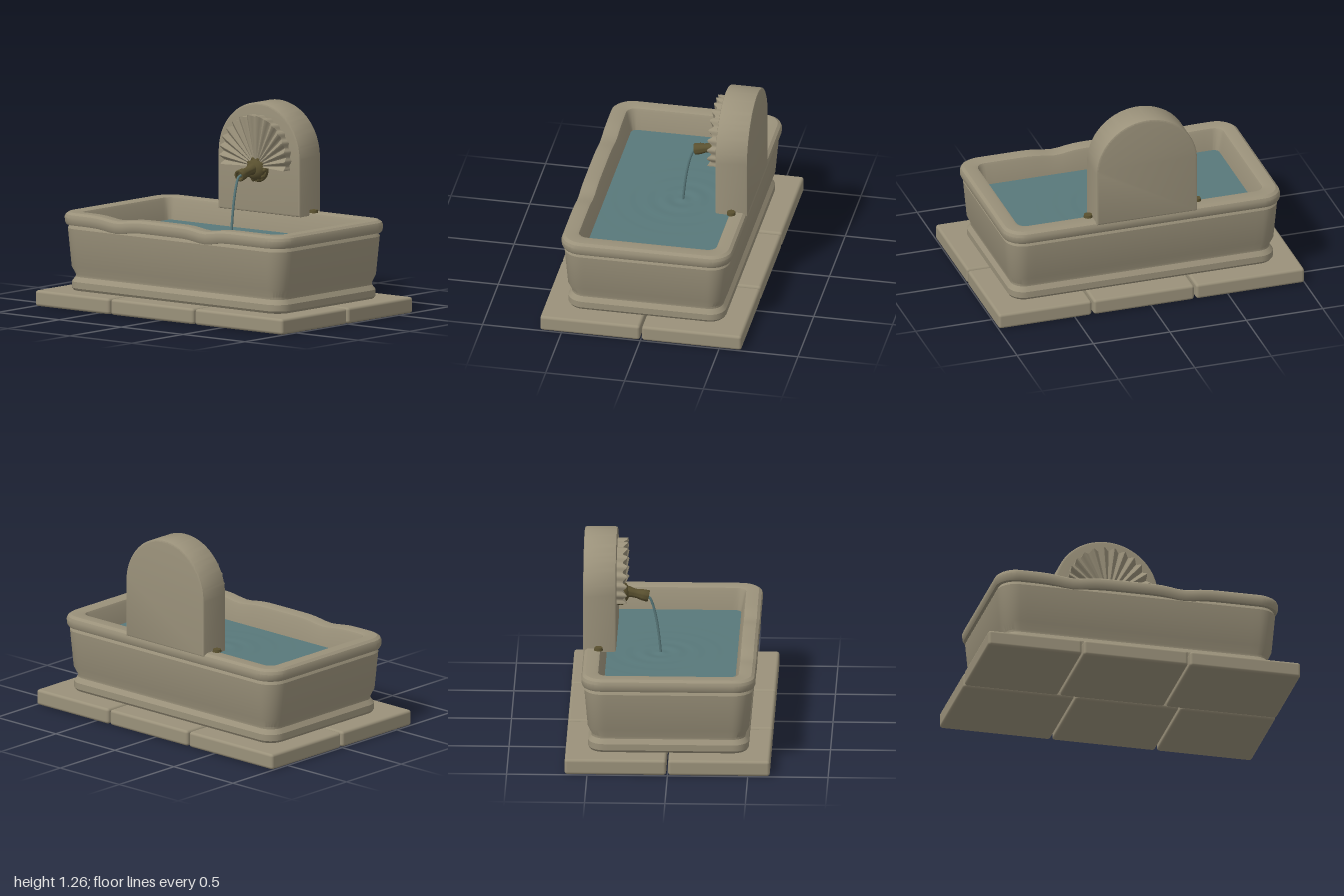
import * as THREE from 'three';
import { toCreasedNormals } from 'three/addons/utils/BufferGeometryUtils.js';
import { RoundedBoxGeometry } from 'three/addons/geometries/RoundedBoxGeometry.js';

const stone = new THREE.MeshStandardMaterial({ color: 0x9a917a, side: THREE.DoubleSide });
stone.name = 'stone';
const bronze = new THREE.MeshStandardMaterial({ color: 0x59502f });
bronze.name = 'bronze';
const water = new THREE.MeshStandardMaterial({ color: 0x58787a });
water.name = 'water';

function part(parent, name, geometry, material, x = 0, y = 0, z = 0) {
  const mesh = new THREE.Mesh(geometry, material);
  mesh.name = name;
  mesh.position.set(x, y, z);
  parent.add(mesh);
  return mesh;
}

// Surface through a grid of points: rows of equal length
function loft(rows, closed, crease) {
  const n = rows[0].length, index = [];
  for (let i = 0; i < rows.length - 1; i++) {
    for (let j = 0; j < (closed ? n : n - 1); j++) {
      const k = (j + 1) % n;
      const a = i * n + j, b = i * n + k, c = b + n, d = a + n;
      index.push(a, b, c, a, c, d);
    }
  }
  const g = new THREE.BufferGeometry();
  g.setAttribute('position', new THREE.Float32BufferAttribute(rows.flat(2), 3));
  g.setIndex(index);
  return toCreasedNormals(g, crease);
}

// Rounded rectangle ring, with worn dips along the front rim
function basinRing([hx, y]) {
  const hz = hx - 0.365, r = Math.max(0.004, 0.13 - (0.905 - hx) * 0.7);
  const rad = Math.min(r, hz * 0.9), pts = [];
  for (let q = 0; q < 4; q++) {
    const sx = q === 0 || q === 3 ? 1 : -1, sz = q < 2 ? -1 : 1;
    for (let s = 0; s <= 8; s++) {
      const a = (q + s / 8) * Math.PI / 2;
      pts.push([sx * (hx - rad) + rad * Math.cos(a), sz * (hz - rad) - rad * Math.sin(a)]);
    }
    const [x0, z0] = pts[pts.length - 1];
    const alongX = q % 2 === 0;
    for (let s = 1; s < 32; s++) {
      const t = s / 32;
      pts.push(alongX ? [x0 * (1 - 2 * t), z0] : [x0, z0 * (1 - 2 * t)]);
    }
  }
  return pts.map(([x, z]) => {
    const dip = Math.exp(-(((x + 0.43) / 0.11) ** 2)) + Math.exp(-(((x - 0.28) / 0.1) ** 2));
    return [x, y - (y > 0.51 && z > 0.3 ? 0.02 * dip : 0), z];
  });
}

function addPaving(group) {
  const paving = new THREE.Group();
  paving.name = 'paving';
  group.add(paving);
  const rows = [
    { z0: 0.004, z1: 0.637, cuts: [-1, -0.395, 0.285, 1] },
    { z0: -0.64, z1: -0.008, cuts: [-1, -0.285, 0.385, 1] },
  ];
  for (const { z0, z1, cuts } of rows) {
    for (let i = 0; i < 3; i++) {
      const x0 = cuts[i] + (i > 0 ? 0.006 : 0), x1 = cuts[i + 1] - (i < 2 ? 0.006 : 0);
      part(paving, 'pavingSlab', new RoundedBoxGeometry(x1 - x0, 0.1, z1 - z0, 2, 0.018),
        stone, (x0 + x1) / 2, 0.05, (z0 + z1) / 2);
    }
  }
}

function addBasin(group) {
  // Half width and height, from under the foot, over the rim, to the inner floor
  const profile = [
    [0.37, 0.1], [0.855, 0.1], [0.865, 0.115], [0.865, 0.155], [0.845, 0.185], [0.845, 0.2],
    [0.868, 0.25], [0.889, 0.49], [0.882, 0.505], [0.878, 0.512], [0.897, 0.514], [0.905, 0.53],
    [0.907, 0.56], [0.9, 0.578], [0.882, 0.591], [0.82, 0.592], [0.803, 0.586], [0.796, 0.57],
    [0.772, 0.45], [0.75, 0.22], [0.37, 0.2],
  ];
  part(group, 'basin', loft(profile.map(basinRing), true, 0.5), stone);

  // Water with rings spreading from the jet
  const g = new THREE.PlaneGeometry(1.56, 0.83, 104, 60);
  g.rotateX(-Math.PI / 2);
  const p = g.attributes.position;
  for (let i = 0; i < p.count; i++) {
    const d = Math.hypot(p.getX(i), p.getZ(i) + 0.07);
    p.setY(i, 0.004 * Math.cos(d * 55) * Math.exp(-d * 6));
  }
  g.computeVertexNormals();
  part(group, 'waterSurface', g, water, 0, 0.45, 0);
}

function addBackPlate(group) {
  const b = 0.012, w = 0.33 - b;
  const shape = new THREE.Shape();
  shape.moveTo(-w, 0.57 + b);
  shape.lineTo(w, 0.57 + b);
  shape.lineTo(w, 0.93);
  shape.absarc(0, 0.93, w, 0, Math.PI, false);
  shape.closePath();
  const g = new THREE.ExtrudeGeometry(shape, {
    depth: 0.205 - 2 * b, bevelThickness: b, bevelSize: b, bevelSegments: 2, curveSegments: 40,
  });
  part(group, 'backPlate', toCreasedNormals(g, 0.4), stone, 0, 0, -0.545 + b);

  // Fluted shell, closed to the plate at its outer edge and both ends
  const ribs = 15, n = ribs * 8, rows = [];
  for (let i = 0; i <= 8; i++) {
    const s = Math.min(1, 0.1 + 0.9 * i / 7), row = [];
    for (let j = -1; j <= n + 1; j++) {
      const t = Math.min(1, Math.max(0, j / n));
      const a = -0.02 + t * (Math.PI + 0.04);
      const rib = 0.5 + 0.5 * Math.cos(2 * Math.PI * ribs * t);
      const r = s * (0.243 + 0.07 * Math.sin(a) + 0.012 * rib);
      const wall = i === 8 || j < 0 || j > n;
      const h = wall ? 0 : 0.035 + 0.008 * s + 0.028 * s * rib;
      row.push([r * Math.cos(a), 0.865 + r * Math.sin(a), -0.345 + h]);
    }
    rows.push(row);
  }
  // Rows run outwards, so reverse them to face the front
  part(group, 'shell', loft(rows.reverse(), false, 0.6), stone);
}

function addSpout(group) {
  const lathe = (pts) => new THREE.LatheGeometry(pts.map(([r, y]) => new THREE.Vector2(r, y)), 24);
  const flange = lathe([[0.078, 0], [0.081, 0.012], [0.078, 0.026], [0.068, 0.03], [0.066, 0.045],
    [0.054, 0.062], [0.036, 0.074], [0, 0.078]]);
  part(group, 'spoutFlange', toCreasedNormals(flange, 0.6), bronze, 0, 0.845, -0.345).rotation.x = Math.PI / 2;

  // Small beads around the flange
  for (let i = 0; i < 10; i++) {
    const a = i * Math.PI / 5;
    part(group, 'flangeBead', new THREE.SphereGeometry(0.014, 10, 8), bronze,
      0.066 * Math.cos(a), 0.845 + 0.066 * Math.sin(a), -0.312);
  }

  const pipe = lathe([[0.036, 0], [0.036, 0.06], [0.029, 0.085], [0.029, 0.12], [0.035, 0.145],
    [0.037, 0.18], [0.034, 0.186], [0.025, 0.186], [0.023, 0.16], [0, 0.16]]);
  part(group, 'spout', toCreasedNormals(pipe, 0.6), bronze, 0, 0.862, -0.328).rotation.x = Math.PI / 2 + 0.22;

  // Falling jet of water
  const path = new THREE.CatmullRomCurve3([[0.824, -0.17], [0.815, -0.143], [0.77, -0.122],
    [0.68, -0.1], [0.59, -0.086], [0.44, -0.07]].map(([y, z]) => new THREE.Vector3(0, y, z)));
  part(group, 'waterJet', new THREE.TubeGeometry(path, 32, 0.008, 10), water);

  // Bronze studs on the rim beside the back plate
  for (const side of [-1, 1]) {
    part(group, 'rimStud', new THREE.CylinderGeometry(0.025, 0.028, 0.018, 20), bronze, side * 0.355, 0.6, -0.448);
  }
}

export function createModel() {
  const group = new THREE.Group();
  group.name = 'wallFountain';
  addPaving(group);
  addBasin(group);
  addBackPlate(group);
  addSpout(group);
  return group;
}
